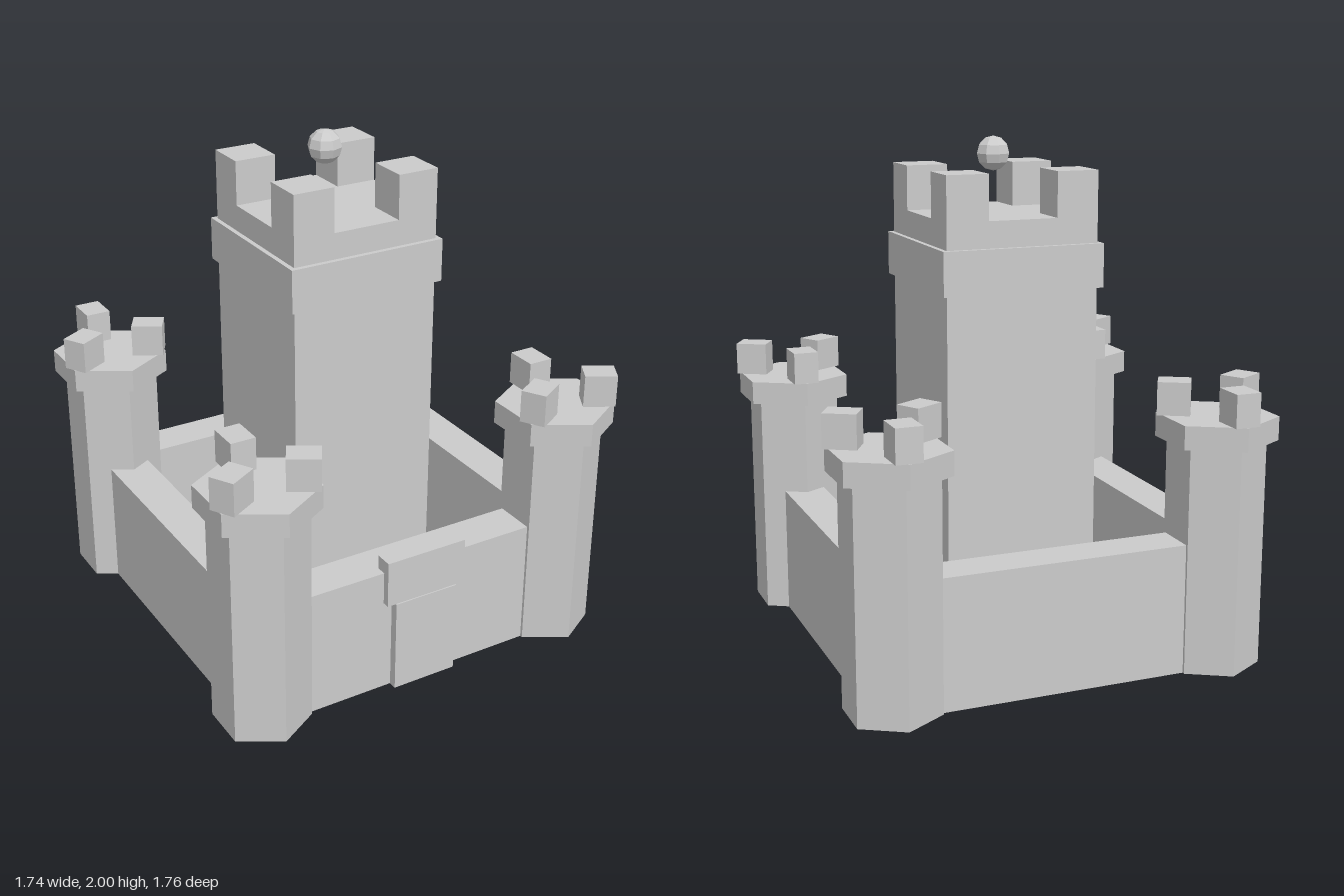
import * as THREE from 'three';

const material = new THREE.MeshStandardMaterial({ color: 0xcccccc, flatShading: true });

function add(parent, name, geometry, x, y, z) {
  const mesh = new THREE.Mesh(geometry, material);
  mesh.name = name;
  mesh.position.set(x, y, z);
  parent.add(mesh);
  return mesh;
}

// Box given by its size, its underside height and its plan position
function block(parent, name, w, h, d, x, bottom, z) {
  return add(parent, name, new THREE.BoxGeometry(w, h, d), x, bottom + h / 2, z);
}

// Hexagonal prism standing on a given height
function hexPrism(parent, name, radius, h, bottom) {
  return add(parent, name, new THREE.CylinderGeometry(radius, radius, h, 6), 0, bottom + h / 2, 0);
}

// Corner tower: shaft, wider cap and three merlons
function createTower() {
  const tower = new THREE.Group();
  tower.name = 'cornerTower';
  hexPrism(tower, 'towerShaft', 0.1875, 0.895, 0);
  hexPrism(tower, 'towerCap', 0.231, 0.092, 0.893);
  for (let i = 0; i < 3; i++) {
    const angle = Math.PI + (i * Math.PI * 2) / 3;
    const merlon = block(tower, 'towerMerlon', 0.1, 0.128, 0.125,
      Math.sin(angle) * 0.163, 0.985, Math.cos(angle) * 0.163);
    merlon.rotation.y = angle;
  }
  return tower;
}

// Central keep: body, band, corner merlons and floating orb
function createKeep() {
  const keep = new THREE.Group();
  keep.name = 'keep';
  block(keep, 'keepBody', 0.61, 1.71, 0.61, 0, 0, 0);
  block(keep, 'keepBand', 0.648, 0.17, 0.648, 0, 1.438, 0);
  for (const sx of [-1, 1]) {
    for (const sz of [-1, 1]) {
      block(keep, 'keepMerlon', 0.167, 0.175, 0.167, sx * 0.2215, 1.709, sz * 0.2215);
    }
  }
  add(keep, 'orb', new THREE.SphereGeometry(0.067, 8, 6), 0, 1.933, 0);
  return keep;
}

export function createModel() {
  const castle = new THREE.Group();
  castle.name = 'castle';
  const half = 0.65;

  castle.add(createKeep());

  // Towers on the four corners
  for (const sx of [-1, 1]) {
    for (const sz of [-1, 1]) {
      const tower = createTower();
      tower.position.set(sx * half, 0, sz * half);
      castle.add(tower);
    }
  }

  // Curtain walls between the towers
  for (const s of [-1, 1]) {
    block(castle, 'crossWall', 2 * half, 0.512, 0.165, 0, 0, s * half);
    block(castle, 'sideWall', 0.165, 0.512, 2 * half, s * half, 0, 0);
  }

  // Gate on the front wall
  const gate = new THREE.Group();
  gate.name = 'gate';
  block(gate, 'door', 0.27, 0.38, 0.068, 0, 0, 0.732);
  block(gate, 'lintel', 0.342, 0.187, 0.07, 0, 0.38, 0.726);
  castle.add(gate);

  return castle;
}
